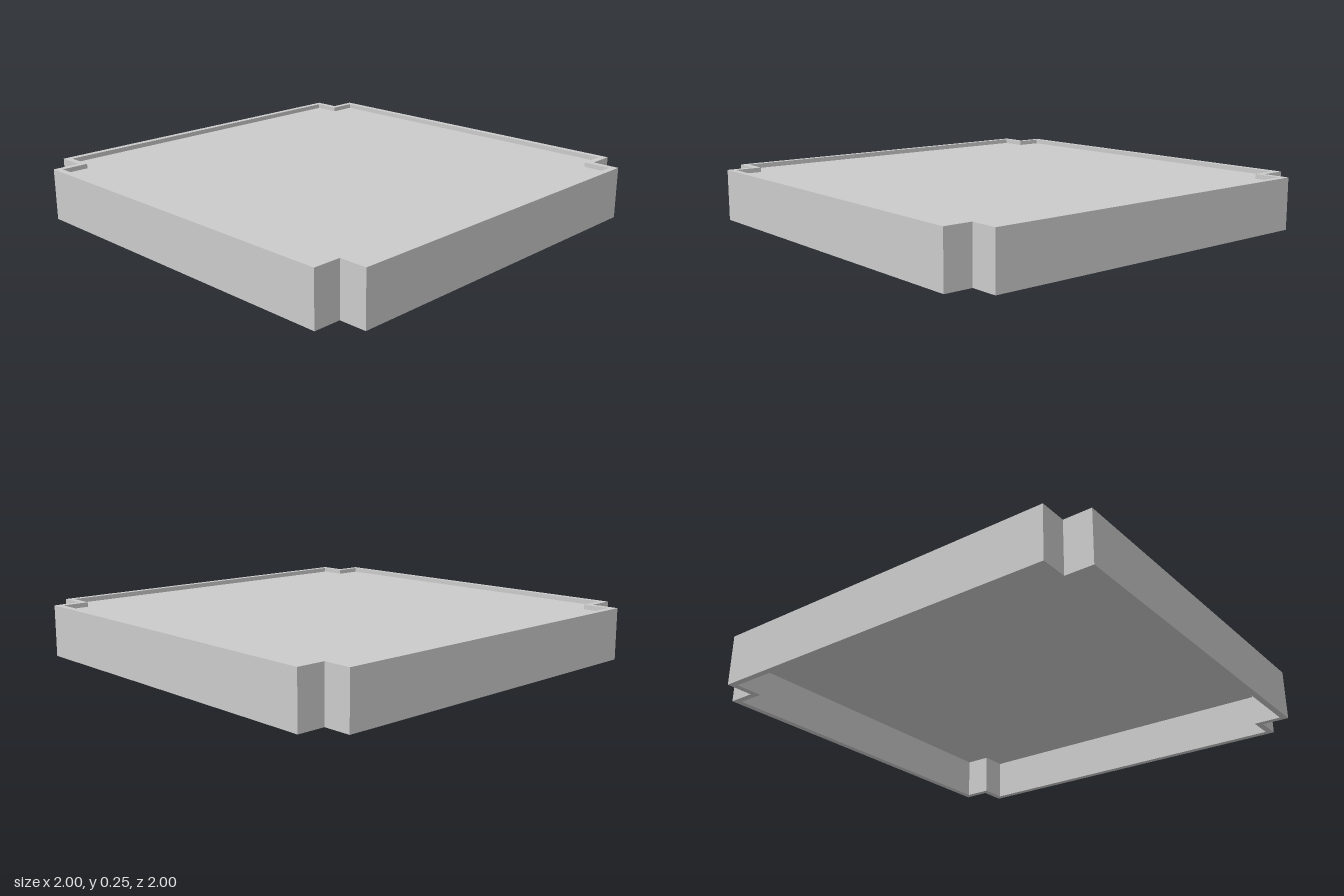
import * as THREE from 'three';

const HALF = 1, NOTCH = 0.87, WALL = 0.03, HEIGHT = 0.245;

// Square outline with notched corners, moved inwards by an inset
function outline(PathType, inset) {
  const a = HALF - inset, b = NOTCH - inset;
  const points = [];
  const corner = [[a, -b], [a, b], [b, b]];
  for (let i = 0; i < 4; i++) {
    for (const [x, y] of corner) {
      const p = new THREE.Vector2(x, y);
      for (let k = 0; k < i; k++) p.set(-p.y, p.x);
      points.push(p);
    }
  }
  return new PathType(points);
}

// Upright slab of a shape between two heights
function slab(name, shape, y0, y1, material) {
  const geometry = new THREE.ExtrudeGeometry(shape, { depth: y1 - y0, bevelEnabled: false });
  geometry.rotateX(-Math.PI / 2);
  geometry.translate(0, y0, 0);
  const mesh = new THREE.Mesh(geometry, material);
  mesh.name = name;
  return mesh;
}

export function createModel() {
  const group = new THREE.Group();
  group.name = 'notchedTray';
  const material = new THREE.MeshStandardMaterial({ color: 0xcccccc, flatShading: true });

  // Thin wall that follows the notched outline
  const wall = outline(THREE.Shape, 0);
  wall.holes.push(outline(THREE.Path, WALL));
  group.add(slab('rimWall', wall, 0, HEIGHT, material));

  // Panel set just below the top of the wall, hollow underneath
  group.add(slab('panel', outline(THREE.Shape, WALL), 0.205, 0.223, material));

  return group;
}
